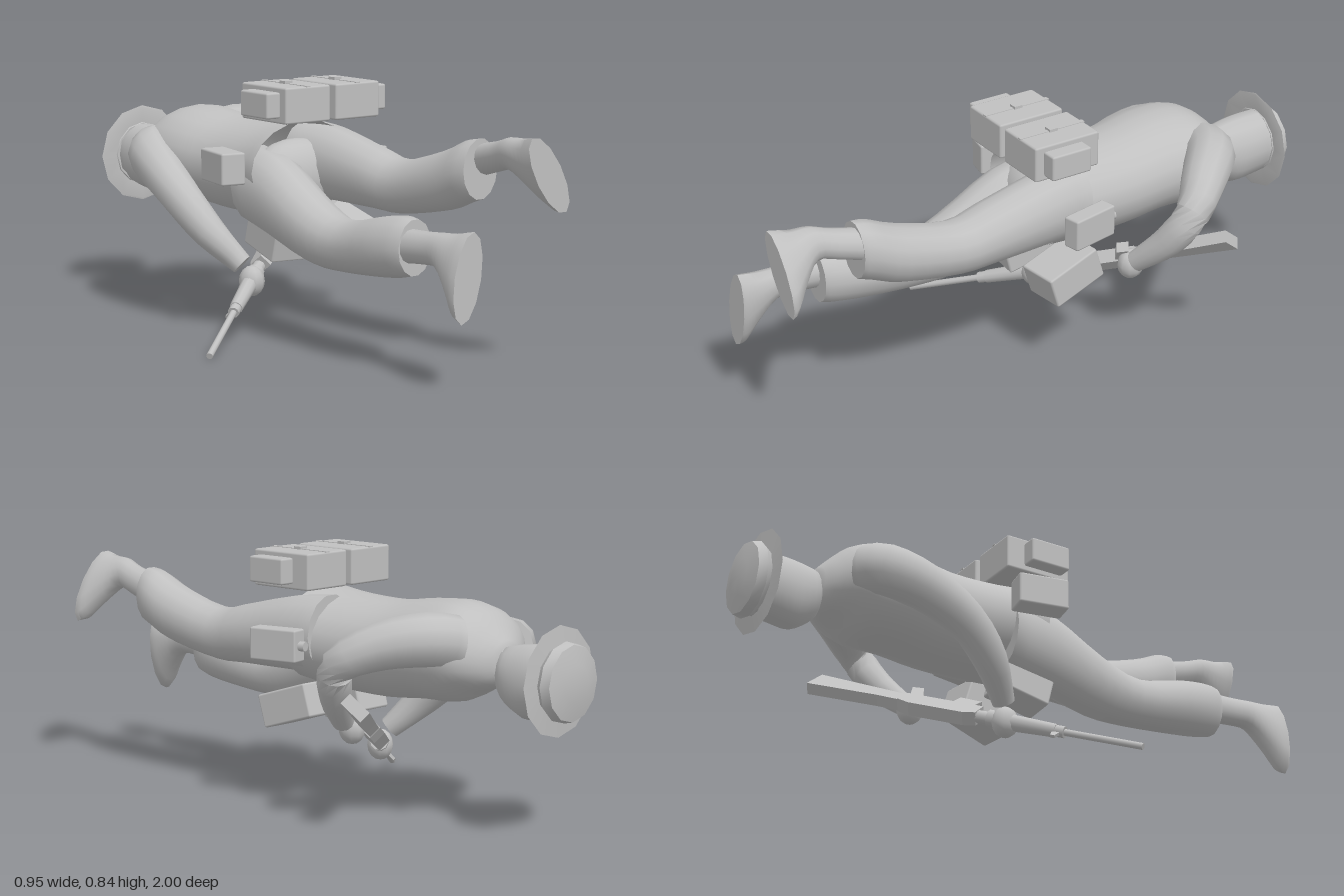
import * as THREE from 'three';
import { toCreasedNormals } from 'three/addons/utils/BufferGeometryUtils.js';
import { RoundedBoxGeometry } from 'three/addons/geometries/RoundedBoxGeometry.js';

const Y = new THREE.Vector3(0, 1, 0);
const FEET = new THREE.Vector3(0, 0, 1), HEAD = new THREE.Vector3(0, 0, -1);

// Smooth skin through sections [x, y, z, radiusU, radiusV]; a fixed axis keeps all rings parallel
function loft(sections, { axis = null, sides = 14, steps = 3, caps = [true, true] } = {}) {
  const path = new THREE.CatmullRomCurve3(sections.map(s => new THREE.Vector3(s[0], s[1], s[2])), false, 'catmullrom');
  const radii = new THREE.CatmullRomCurve3(sections.map(s => new THREE.Vector3(s[3], s[4] ?? s[3], 0)), false, 'catmullrom');
  const n = (sections.length - 1) * steps, pos = [], idx = [];
  for (let i = 0; i <= n; i++) {
    const c = path.getPoint(i / n), r = radii.getPoint(i / n);
    const t = axis ? axis : path.getTangent(i / n);
    const u = new THREE.Vector3().crossVectors(Y, t).normalize();
    const v = new THREE.Vector3().crossVectors(t, u);
    for (let j = 0; j < sides; j++) {
      const a = (j / sides) * Math.PI * 2;
      const p = c.clone().addScaledVector(u, Math.cos(a) * r.x).addScaledVector(v, Math.sin(a) * r.y);
      pos.push(p.x, p.y, p.z);
      if (i < n) {
        const k = (j + 1) % sides, A = i * sides + j, B = i * sides + k;
        idx.push(A, B, B + sides, A, B + sides, A + sides);
      }
    }
  }
  [0, n].forEach((ring, end) => {
    if (!caps[end]) return;
    const c = path.getPoint(end), m = pos.length / 3;
    pos.push(c.x, c.y, c.z);
    for (let j = 0; j < sides; j++) {
      const A = ring * sides + j, B = ring * sides + (j + 1) % sides;
      if (end) idx.push(m, A, B); else idx.push(m, B, A);
    }
  });
  const g = new THREE.BufferGeometry();
  g.setAttribute('position', new THREE.Float32BufferAttribute(pos, 3));
  g.setIndex(idx);
  return toCreasedNormals(g, 1.0);
}

export function createModel() {
  const model = new THREE.Group();
  model.name = 'proneSoldier';
  const grey = new THREE.MeshStandardMaterial({ color: 0xc0c0c0, side: THREE.DoubleSide });
  grey.name = 'plainGrey';
  const add = (name, geo, parent = model) => {
    const m = new THREE.Mesh(geo, grey);
    m.name = name;
    parent.add(m);
    return m;
  };

  // Jacket, open at the hem, with the pelvis inside
  add('jacket', loft([
    [.035, .545, .02, .218, .158], [.035, .53, -.12, .2, .157], [.03, .525, -.3, .195, .157],
    [.02, .54, -.45, .205, .16], [.027, .545, -.57, .212, .158], [.03, .55, -.65, .19, .125],
    [.03, .535, -.71, .115, .085], [.03, .53, -.74, .056, .056],
  ], { axis: HEAD, sides: 20, caps: [false, true] }));
  const pelvis = add('pelvis', new THREE.SphereGeometry(1, 18, 12));
  pelvis.scale.set(.19, .13, .1);
  pelvis.position.set(.035, .51, -.03);

  // Head and neck, face down
  add('neck', loft([[.03, .54, -.68, .06], [.03, .53, -.73, .052], [.03, .51, -.8, .055]], { axis: HEAD }));
  add('head', loft([
    [.03, .5, -.72, .03, .05], [.03, .495, -.74, .065, .085], [.028, .48, -.81, .086, .115],
    [.028, .485, -.88, .092, .115], [.028, .49, -.95, .088, .11],
  ], { axis: HEAD }));

  // Hat: stiff crown and thin brim
  const hat = new THREE.Group();
  hat.name = 'hat';
  hat.position.set(.026, .493, 0);
  hat.rotation.x = -Math.PI / 2;
  model.add(hat);
  const ring = pts => toCreasedNormals(new THREE.LatheGeometry(pts.map(p => new THREE.Vector2(...p)), 12), .6);
  add('hatBrim', ring([[.1, .934], [.165, .93], [.172, .932], [.1, .938]]), hat);
  add('hatCrown', ring([[.108, .93], [.125, .955], [.118, .985], [.06, .998], [0, 1]]), hat);

  // Trouser legs, closed at the cuff
  add('rightLeg', loft([
    [-.07, .49, -.1, .11, .13], [-.08, .46, .05, .105, .135], [-.085, .38, .25, .097, .105],
    [-.088, .355, .4, .086, .083], [-.093, .38, .58, .091, .095], [-.094, .393, .68, .082, .096],
    [-.094, .397, .73, .066, .088],
  ], { axis: FEET }));
  add('leftLeg', loft([
    [.14, .56, -.1, .11, .13], [.155, .553, .05, .105, .122], [.162, .53, .25, .1, .1],
    [.165, .517, .38, .09, .088], [.168, .56, .58, .09, .097], [.167, .6, .68, .084, .1],
    [.166, .613, .73, .07, .096],
  ], { axis: FEET }));

  // Boots: the ankle flows into a sole with toes towards -y
  const boot = (name, x, y, turn, lean) => {
    const b = add(name, loft([
      [0, lean, -.23, .045, .055], [0, lean * .4, -.1, .041, .05], [0, -.005, -.03, .043, .055],
      [0, -.035, .03, .05, .09], [0, -.063, .075, .055, .128], [0, -.068, .1, .052, .138],
    ], { axis: FEET, sides: 12 }));
    b.position.set(x, y, .9);
    b.rotation.z = turn;
  };
  boot('rightBoot', -.11, .415, -.17, -.015);
  boot('leftBoot', .162, .68, .56, -.06);

  // Sleeves and hands
  add('rightArm', loft([
    [-.1, .56, -.63, .08], [-.165, .545, -.58, .085], [-.205, .5, -.46, .076], [-.215, .42, -.32, .066],
    [-.185, .32, -.21, .055], [-.12, .22, -.12, .037],
  ], { sides: 12 }));
  add('leftArm', loft([
    [.14, .59, -.62, .085], [.23, .605, -.58, .085], [.33, .585, -.48, .075], [.405, .525, -.38, .058],
    [.36, .42, -.325, .052], [.26, .315, -.265, .036],
  ], { sides: 12 }));
  const hand = (name, x, y, z) => {
    const h = add(name, new THREE.SphereGeometry(1, 10, 8));
    h.scale.set(.042, .052, .046);
    h.position.set(x, y, z);
  };
  hand('rightHand', -.095, .165, -.1);
  hand('leftHand', .225, .29, -.27);

  // Rifle: local +z runs from muzzle to butt
  const rifle = new THREE.Group();
  rifle.name = 'rifle';
  rifle.up.set(0, -.5, -.85);
  rifle.position.set(-.462, .012, .175);
  rifle.lookAt(.452, .4, -.515);
  model.add(rifle);
  const rod = (name, z0, z1, r0, r1, sides = 10) =>
    add(name, new THREE.CylinderGeometry(r1, r0, z1 - z0, sides).rotateX(Math.PI / 2).translate(0, 0, (z0 + z1) / 2), rifle);
  rod('barrel', 0, .34, .011, .011);
  rod('gasBlock', .27, .32, .019, .019);
  rod('handguard', .3, .54, .022, .03);
  rod('barrelNut', .54, .6, .022, .022);
  const plate = (name, pts, width) => add(name, new THREE.ExtrudeGeometry(
    new THREE.Shape(pts.map(p => new THREE.Vector2(...p))), { depth: width, bevelEnabled: false },
  ).translate(0, 0, -width / 2).rotateY(-Math.PI / 2), rifle);
  plate('frontSight', [[.28, .01], [.31, .01], [.3, .045], [.285, .045]], .01);
  plate('receiver', [[.58, -.035], [.87, -.035], [.87, .02], [.82, .035], [.62, .035], [.58, .02]], .046);
  plate('magazine', [[.62, -.03], [.7, -.03], [.69, -.085], [.61, -.08]], .034);
  plate('grip', [[.8, -.03], [.85, -.03], [.88, -.1], [.84, -.105]], .034);
  plate('stock', [[.86, -.03], [1.21, -.065], [1.217, .02], [.95, .015], [.86, .02]], .04);

  // Pouches: bevelled boxes around the waist
  const box = (name, size, at, rot = [0, 0, 0]) => {
    const g = new THREE.Group();
    g.name = name;
    g.position.set(...at);
    g.rotation.set(...rot);
    model.add(g);
    add(name + 'Body', new RoundedBoxGeometry(...size, 1, .007), g);
    return g;
  };
  for (const side of [-1, 1]) {
    const s = side < 0 ? 'right' : 'left', x = .066 + side * .102;
    const pack = box(s + 'BackPack', [.182, .118, .24], [x, .77, .01]);
    add('buckle', new THREE.BoxGeometry(.03, .012, .03).translate(0, .062, 0), pack);
    add('strap', new THREE.BoxGeometry(.016, .004, .242).translate(0, .059, 0), pack);
    box(s + 'SidePouch', [.056, .084, .146], [.066 + side * .218, .771, .027]);
  }
  const canteen = box('leftHipPouch', [.06, .105, .172], [.322, .543, -.035], [0, .2, 0]);
  add('cap', new THREE.CylinderGeometry(.016, .016, .024, 8).rotateX(Math.PI / 2).translate(0, 0, -.095), canteen);
  box('rightHipPouch', [.085, .105, .17], [-.24, .567, -.058], [0, -.2, 0]);
  box('leftBellyPouch', [.15, .11, .2], [.205, .333, -.015], [.3, .08, 0]);
  box('rightBellyPouch', [.13, .1, .18], [-.052, .32, -.02], [.25, -.08, 0]);

  return model;
}
